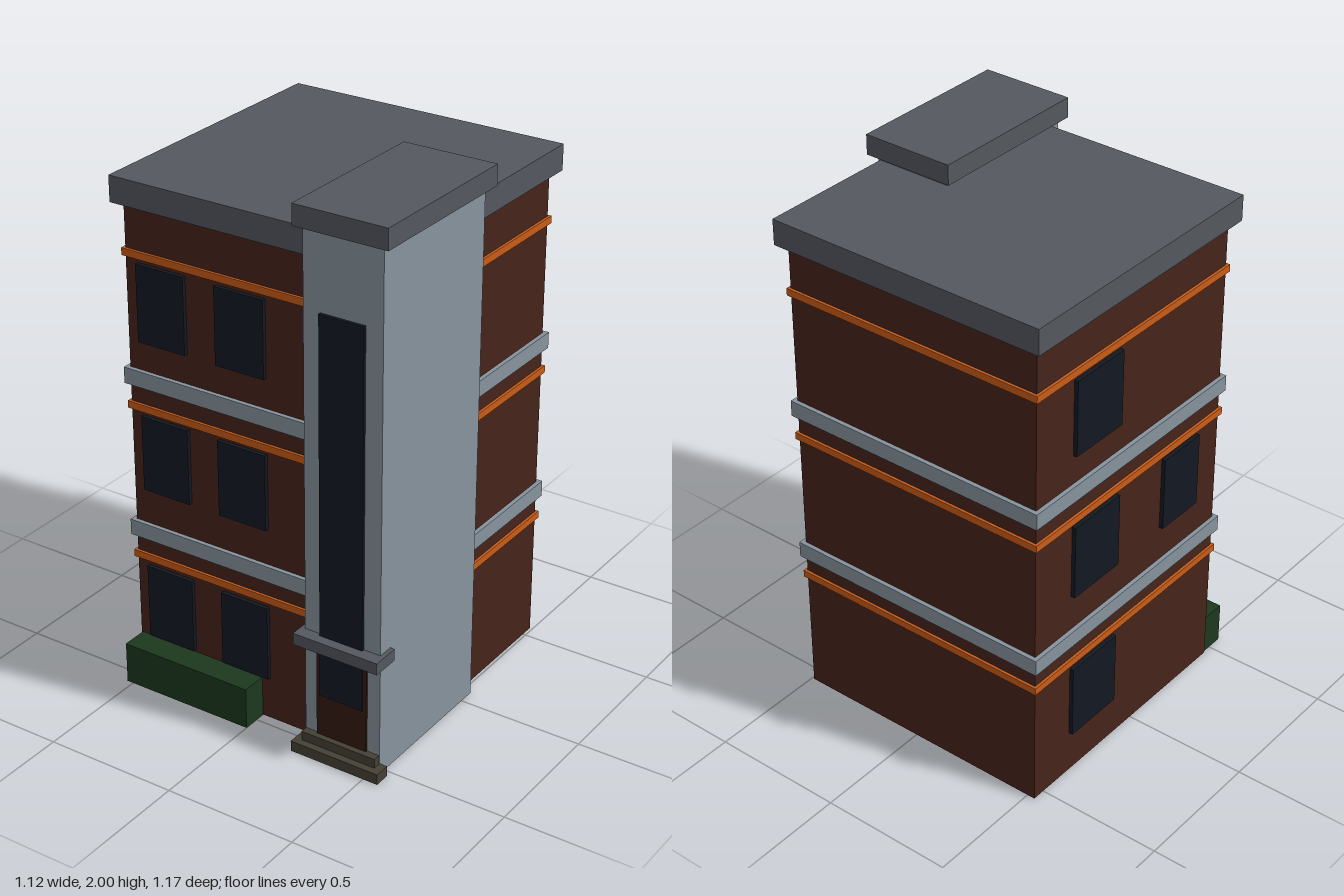
import * as THREE from 'three';

const colors = {
  brick: 0x46231a, roof: 0x54575e, concrete: 0x87939d, trim: 0xc85c18,
  glass: 0x131922, door: 0x331a10, hedge: 0x1c381e, step: 0x454035,
};
const materials = {};
for (const key in colors) materials[key] = new THREE.MeshStandardMaterial({ color: colors[key] });

// Box given by its extents along each axis
function block(parent, name, material, [x0, x1], [y0, y1], [z0, z1]) {
  const mesh = new THREE.Mesh(new THREE.BoxGeometry(x1 - x0, y1 - y0, z1 - z0), materials[material]);
  mesh.position.set((x0 + x1) / 2, (y0 + y1) / 2, (z0 + z1) / 2);
  mesh.name = name;
  parent.add(mesh);
}

export function createModel() {
  const model = new THREE.Group();
  model.name = 'apartmentBuilding';

  // Main block with bands running round it
  const bx = [-0.53, 0.49], bz = [-0.55, 0.462];
  const around = (name, material, y, out) => block(model, name, material,
    [bx[0] - out, bx[1] + out], y, [bz[0] - out, bz[1] + out]);
  around('brickBody', 'brick', [0.001, 1.82], 0);
  around('mainRoof', 'roof', [1.81, 1.905], 0.032);
  for (const y of [0.47, 1.055, 1.62]) around('lintelBand', 'trim', [y, y + 0.027], 0.01);
  for (const y of [0.56, 1.15]) around('floorBand', 'concrete', [y, y + 0.06], 0.016);

  // Windows on the front and on the side wall
  const windows = new THREE.Group();
  windows.name = 'windows';
  model.add(windows);
  [0.167, 0.757, 1.32].forEach((y, floor) => {
    const span = [y, y + 0.284];
    for (const x of [-0.48, -0.16])
      block(windows, 'frontWindow', 'glass', [x, x + 0.195], span, [0.45, 0.477]);
    block(windows, 'sideWindow', 'glass', [-0.545, -0.52], span, [-0.36, -0.12]);
    if (floor === 1) block(windows, 'sideWindow', 'glass', [-0.545, -0.52], span, [0.135, 0.335]);
  });

  // Stair tower with its tall window
  const tower = new THREE.Group();
  tower.name = 'stairTower';
  model.add(tower);
  block(tower, 'towerShaft', 'concrete', [0.23, 0.53], [0, 1.93], [-0.06, 0.53]);
  block(tower, 'towerRoof', 'roof', [0.203, 0.557], [1.925, 2], [-0.087, 0.55]);
  block(tower, 'towerWindow', 'glass', [0.295, 0.465], [0.235, 1.648], [0.51, 0.541]);

  // Entrance: door, canopy and steps
  const entrance = new THREE.Group();
  entrance.name = 'entrance';
  model.add(entrance);
  block(entrance, 'door', 'door', [0.28, 0.48], [0.07, 0.41], [0.51, 0.537]);
  block(entrance, 'canopy', 'roof', [0.213, 0.547], [0.428, 0.472], [0.47, 0.578]);
  block(entrance, 'lowerStep', 'step', [0.205, 0.557], [0, 0.04], [0.525, 0.585]);
  block(entrance, 'upperStep', 'step', [0.232, 0.528], [0.04, 0.075], [0.525, 0.558]);

  // Hedge along the front wall
  block(model, 'hedge', 'hedge', [-0.525, 0], [0, 0.157], [0.455, 0.56]);
  return model;
}
